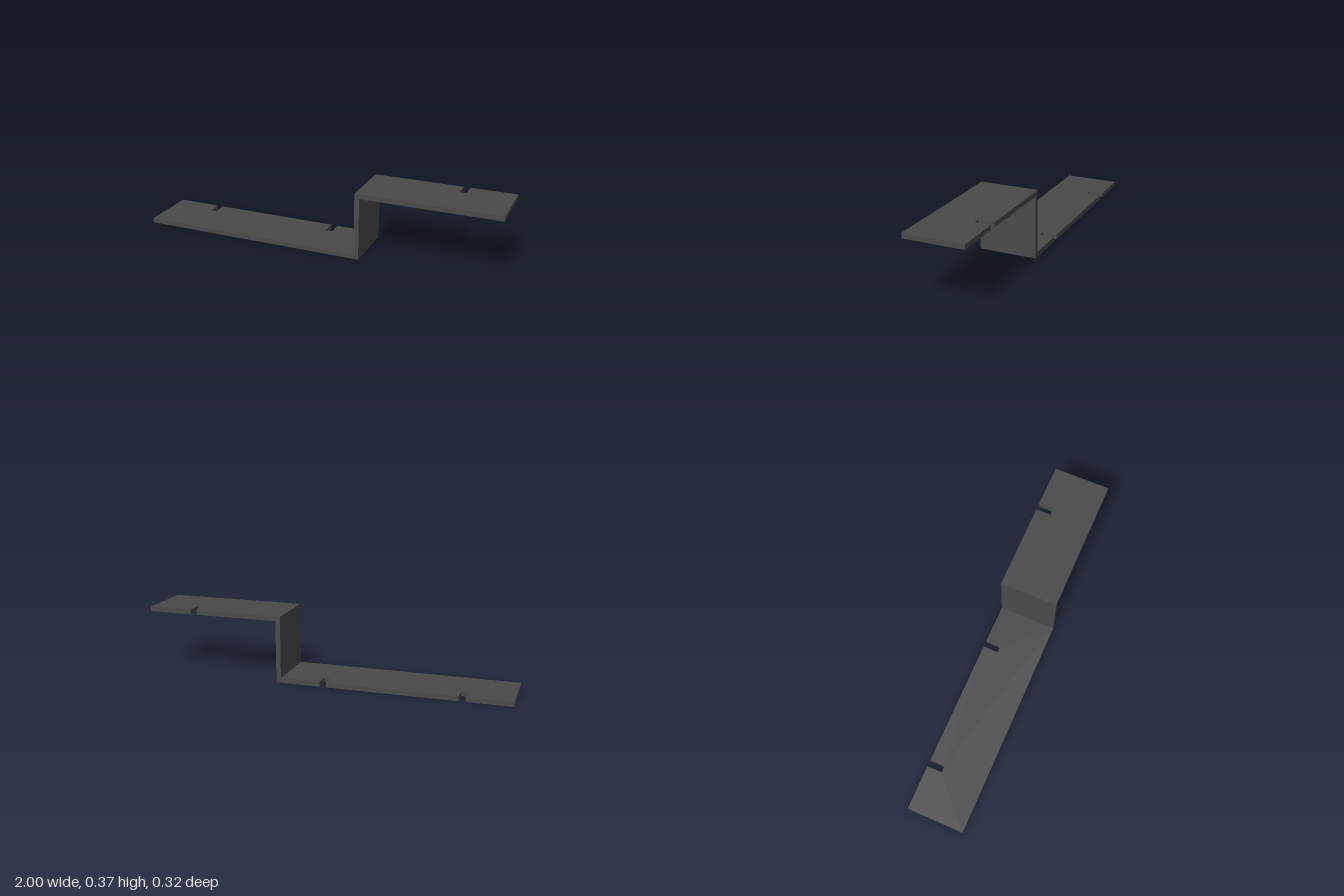
import * as THREE from 'three';

const HALF_DEPTH = 0.158, THICK = 0.026, HEIGHT = 0.365;
const WALL_LEFT = 0.235, WALL_RIGHT = 0.261;
const SLOT_WIDTH = 0.036, SLOT_END = -0.075;

const material = new THREE.MeshStandardMaterial({ color: 0x4a4a4a });

// Flat plate from x0 to x1 with slots cut into its back edge
function plate(name, x0, x1, top, slots) {
  const shape = new THREE.Shape();
  shape.moveTo(x0, HALF_DEPTH);
  shape.lineTo(x0, -HALF_DEPTH);
  for (const x of slots) {
    const a = x - SLOT_WIDTH / 2, b = x + SLOT_WIDTH / 2;
    shape.lineTo(a, -HALF_DEPTH);
    shape.lineTo(a, SLOT_END);
    shape.lineTo(b, SLOT_END);
    shape.lineTo(b, -HALF_DEPTH);
  }
  shape.lineTo(x1, -HALF_DEPTH);
  shape.lineTo(x1, HALF_DEPTH);
  shape.closePath();
  const geometry = new THREE.ExtrudeGeometry(shape, { depth: THICK, bevelEnabled: false });
  geometry.rotateX(Math.PI / 2); // shape y becomes z, thickness runs downward
  const mesh = new THREE.Mesh(geometry, material);
  mesh.name = name;
  mesh.position.y = top;
  return mesh;
}

export function createModel() {
  const group = new THREE.Group();
  group.name = 'steppedBracket';

  // Long lower and short upper plates
  group.add(plate('lowerPlate', -1, WALL_RIGHT, THICK, [-0.74, -0.002]));
  group.add(plate('upperPlate', WALL_LEFT, 1, HEIGHT, [0.737]));

  // Upright web joining the two plates
  const web = new THREE.Mesh(
    new THREE.BoxGeometry(WALL_RIGHT - WALL_LEFT, HEIGHT - 2 * THICK, 2 * HALF_DEPTH),
    material
  );
  web.name = 'uprightWeb';
  web.position.set((WALL_LEFT + WALL_RIGHT) / 2, HEIGHT / 2, 0);
  group.add(web);

  return group;
}
